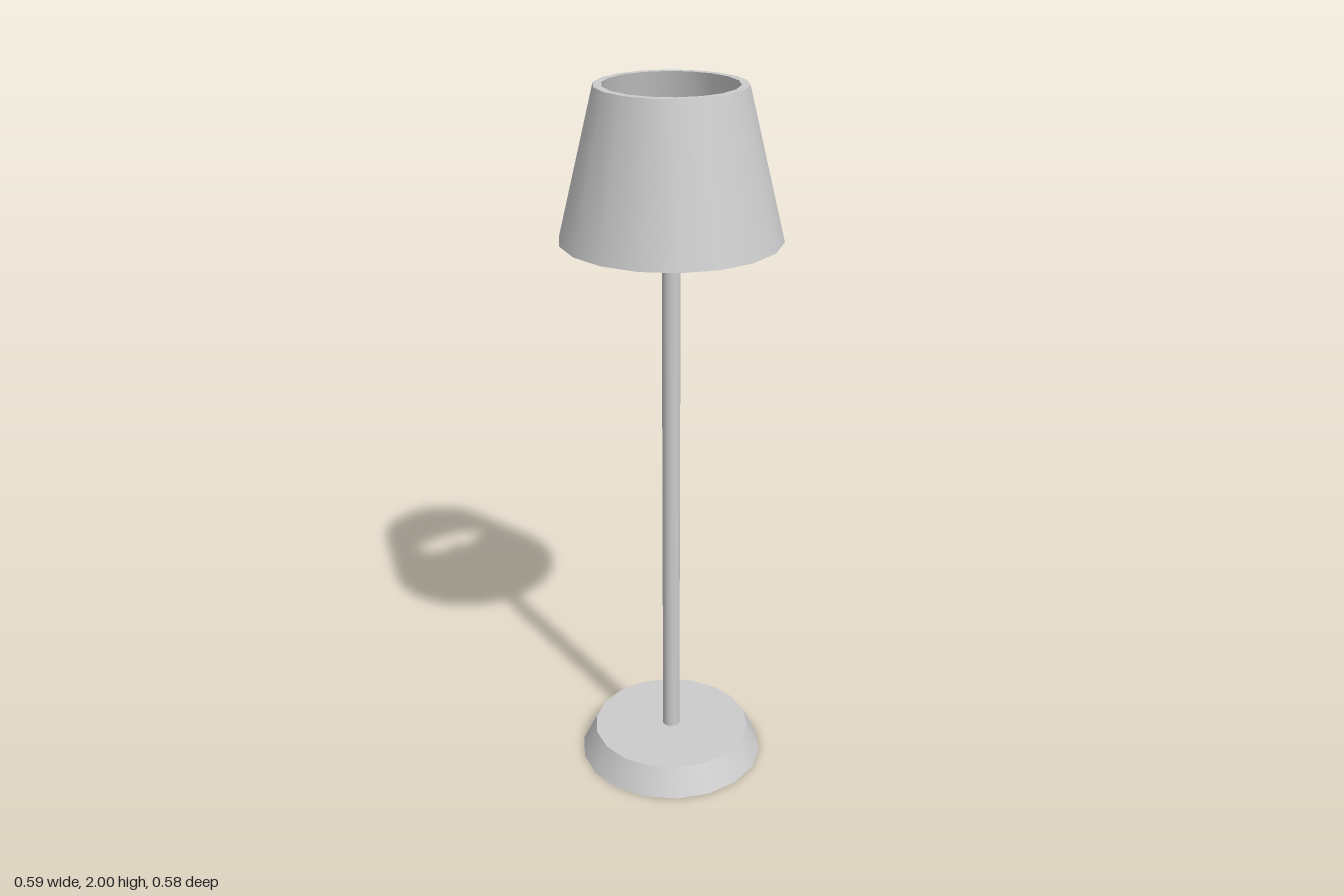
import * as THREE from 'three';
import { mergeGeometries } from 'three/addons/utils/BufferGeometryUtils.js';

const SIDES = 18;
const material = new THREE.MeshStandardMaterial({ color: 0xcccccc });

// Turns a profile of [radius, y] points, keeping a sharp edge at every point
function turned(name, profile) {
  const bands = [];
  for (let i = 0; i < profile.length - 1; i++) {
    const points = [profile[i], profile[i + 1]].map(([r, y]) => new THREE.Vector2(r, y));
    bands.push(new THREE.LatheGeometry(points, SIDES, Math.PI / 2, Math.PI * 2));
  }
  const mesh = new THREE.Mesh(mergeGeometries(bands), material);
  mesh.name = name;
  return mesh;
}

export function createModel() {
  const lamp = new THREE.Group();
  lamp.name = 'tableLamp';

  // Weighted foot with a sloping rim
  lamp.add(turned('base', [[0, 0], [0.27, 0], [0.23, 0.08], [0, 0.08]]));

  // Slim stem running up inside the shade
  lamp.add(turned('stem', [[0, 0.07], [0.025, 0.07], [0.025, 1.8], [0, 1.8]]));

  // Hollow tapered shade, open at both ends
  lamp.add(turned('shade', [[0.275, 1.6], [0.297, 1.6], [0.199, 2], [0.177, 2], [0.275, 1.6]]));

  return lamp;
}
